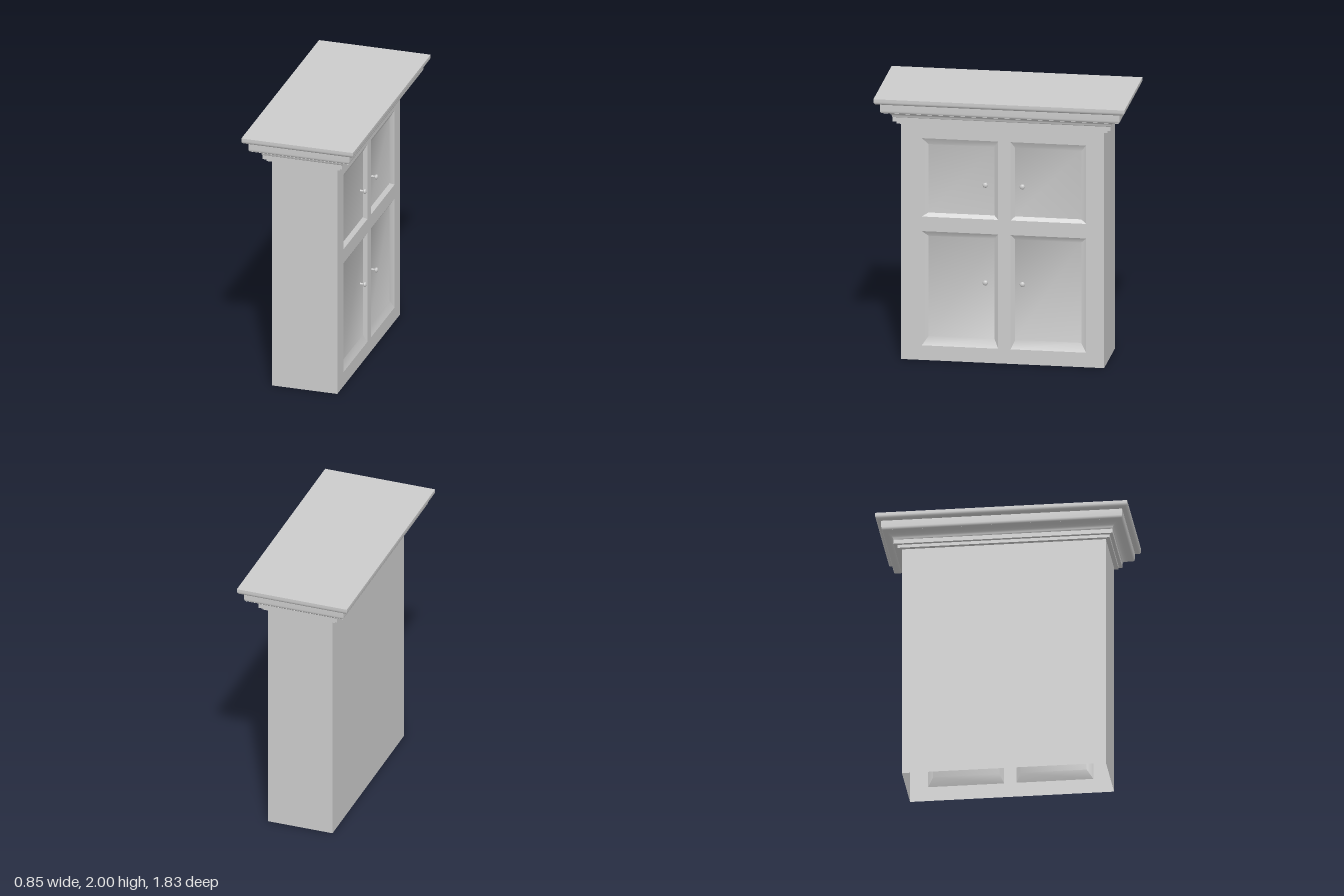
import * as THREE from 'three';
import { toCreasedNormals } from 'three/addons/utils/BufferGeometryUtils.js';

const W = 0.248, L = 0.741, H = 1.78; // half depth (x), half length (z), body height
const DEPTH = 0.025;                  // panel recess

const material = new THREE.MeshStandardMaterial({ color: 0xcccccc, side: THREE.DoubleSide });

function addMesh(parent, name, geometry) {
  const mesh = new THREE.Mesh(geometry, material);
  mesh.name = name;
  parent.add(mesh);
  return mesh;
}

function rectangle(Type, [u0, u1, v0, v1]) {
  return new Type([[u0, v0], [u1, v0], [u1, v1], [u0, v1]].map(p => new THREE.Vector2(...p)));
}

// Skin between consecutive four-cornered loops, optionally closed by the last loop
function loft(loops, cap) {
  const pos = [], index = [];
  loops.forEach(loop => loop.forEach(p => pos.push(...p)));
  for (let i = 0; i < loops.length - 1; i++) {
    for (let j = 0; j < 4; j++) {
      const a = i * 4 + j, b = i * 4 + (j + 1) % 4;
      index.push(a, b, b + 4, a, b + 4, a + 4);
    }
  }
  if (cap) {
    const k = (loops.length - 1) * 4;
    index.push(k, k + 1, k + 2, k, k + 2, k + 3);
  }
  const g = new THREE.BufferGeometry();
  g.setAttribute('position', new THREE.Float32BufferAttribute(pos, 3));
  g.setIndex(index);
  return toCreasedNormals(g, 0.6);
}

// Crown moulding: [outward offset, height], mitred around the body
function crownGeometry() {
  const profile = [[0, 1.78], [0.03, 1.78], [0.03, 1.803], [0.054, 1.803], [0.054, 1.835]];
  const arc = (cx, cy, rx, ry, from, to, n) => {
    for (let i = 0; i <= n; i++) {
      const t = from + (to - from) * i / n;
      profile.push([cx + rx * Math.cos(t), cy + ry * Math.sin(t)]);
    }
  };
  arc(0.124, 1.84, 0.066, 0.042, Math.PI, Math.PI / 2, 8);   // cove
  arc(0.122, 1.905, 0.012, 0.022, -Math.PI / 2, 0, 5);       // bead
  profile.push([0.134, 1.953]);
  arc(0.153, 1.981, 0.022, 0.026, -Math.PI / 2, 0, 6);       // top lip
  profile.push([0.175, 2]);
  const loops = profile.map(([o, y]) => {
    const x = W + o, z = L + o;
    return [[-x, y, z], [x, y, z], [x, y, -z], [-x, y, -z]];
  });
  return loft(loops, true);
}

// Knob: a round head on a thin stem, turned about the outward axis
function knobGeometry() {
  const points = [[0.009, 0], [0.007, 0.024], [0.012, 0.027], [0.018, 0.032],
    [0.019, 0.037], [0.016, 0.043], [0.009, 0.047], [0, 0.048]];
  const g = new THREE.LatheGeometry(points.map(p => new THREE.Vector2(...p)), 20);
  return g.rotateX(Math.PI / 2);
}

export function createModel() {
  const model = new THREE.Group();
  model.name = 'wallCabinet';

  // Plain walls of the carcass, open at the bottom
  for (const s of [-1, 1]) {
    const end = addMesh(model, s > 0 ? 'frontEnd' : 'backEnd', new THREE.PlaneGeometry(2 * W, H));
    end.position.set(0, H / 2, s * L);
    if (s < 0) end.rotation.y = Math.PI;
  }
  const rear = addMesh(model, 'plainSide', new THREE.PlaneGeometry(2 * L, H));
  rear.position.set(-W, H / 2, 0);
  rear.rotation.y = -Math.PI / 2;

  // Door side, built facing +z then turned to face +x
  const doorSide = new THREE.Group();
  doorSide.name = 'doorSide';
  doorSide.rotation.y = Math.PI / 2;
  model.add(doorSide);

  const columns = [
    { outer: [-0.59, -0.033], inner: [-0.545, -0.063], knob: -0.125 },
    { outer: [0.058, 0.61], inner: [0.088, 0.57], knob: 0.145 },
  ];
  const rows = [
    { outer: [0.11, 0.97], inner: [0.175, 0.93], knob: 0.605 },
    { outer: [1.08, 1.67], inner: [1.105, 1.62], knob: 1.34 },
  ];
  const face = rectangle(THREE.Shape, [-L, L, 0, H]);
  const corners = ([u0, u1], [v0, v1], d) => [[u0, v0, d], [u1, v0, d], [u1, v1, d], [u0, v1, d]];
  const knob = knobGeometry();

  for (const c of columns) {
    for (const r of rows) {
      face.holes.push(rectangle(THREE.Path, [...c.outer, ...r.outer]));
      // Bevelled recess with a flat panel
      addMesh(doorSide, 'doorPanel',
        loft([corners(c.outer, r.outer, W), corners(c.inner, r.inner, W - DEPTH)], true));
      addMesh(doorSide, 'knob', knob).position.set(c.knob, r.knob, W - DEPTH);
    }
  }
  addMesh(doorSide, 'doorFrame', new THREE.ShapeGeometry(face)).position.z = W;

  addMesh(model, 'crown', crownGeometry());
  return model;
}
